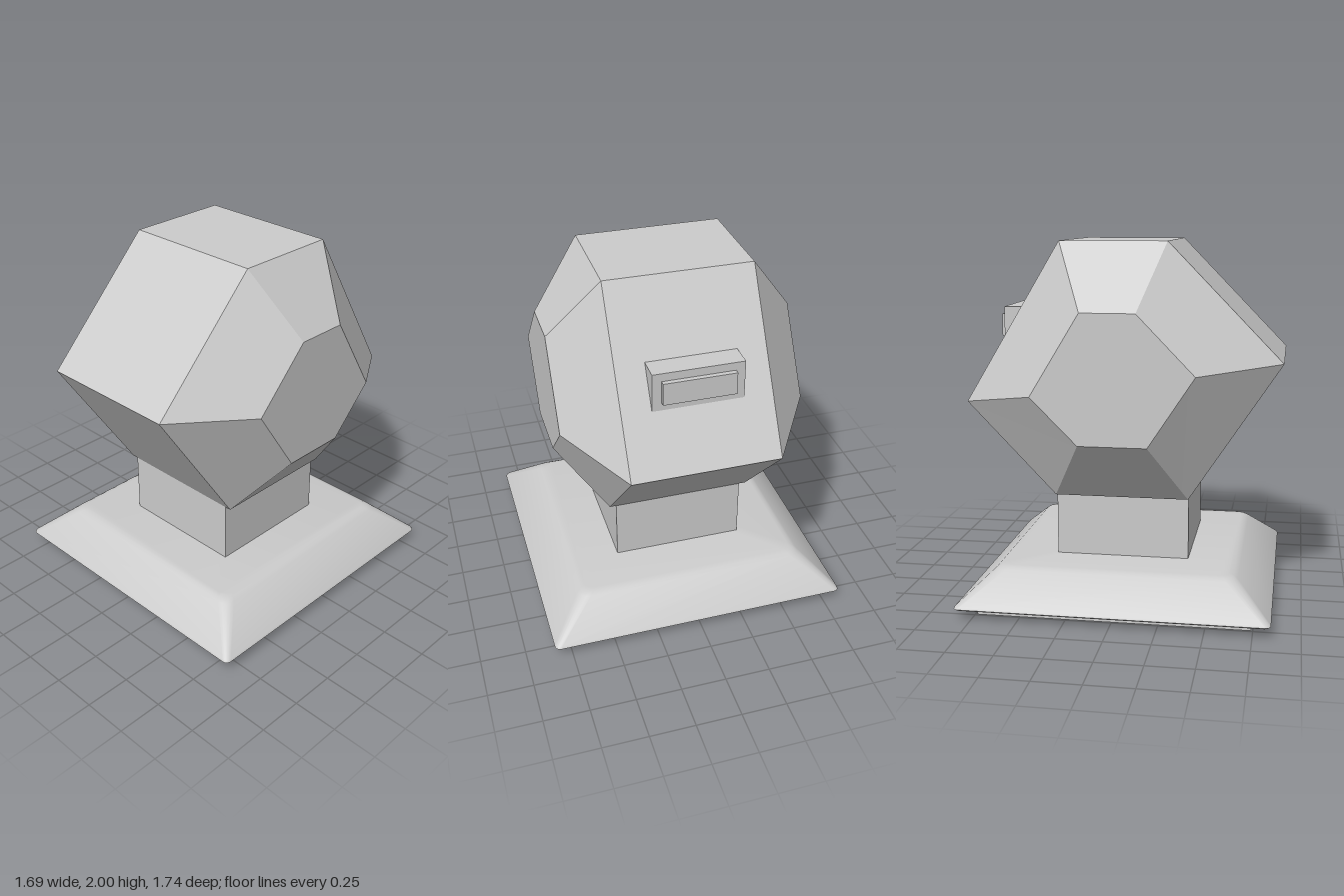
import * as THREE from 'three';
import { toCreasedNormals } from 'three/addons/utils/BufferGeometryUtils.js';

const material = new THREE.MeshStandardMaterial({ color: 0xcccccc });

// Joins counter-clockwise rings of Vector3 into a closed, capped solid.
function loft(rings, crease = 0.05) {
  const pos = [];
  const tri = (...pts) => pts.forEach((p) => pos.push(p.x, p.y, p.z));
  const n = rings[0].length;
  for (let i = 0; i < rings.length - 1; i++) {
    for (let j = 0; j < n; j++) {
      const k = (j + 1) % n;
      const a = rings[i][j], b = rings[i][k], c = rings[i + 1][k], d = rings[i + 1][j];
      tri(a, b, c);
      tri(a, c, d);
    }
  }
  const first = rings[0], last = rings[rings.length - 1];
  for (let j = 1; j < n - 1; j++) {
    tri(first[0], first[j + 1], first[j]);
    tri(last[0], last[j], last[j + 1]);
  }
  const geometry = new THREE.BufferGeometry();
  geometry.setAttribute('position', new THREE.Float32BufferAttribute(pos, 3));
  return toCreasedNormals(geometry, crease);
}

// Places a [z, y] side profile at a given x.
const sideRing = (profile, x) => profile.map(([z, y]) => new THREE.Vector3(x, y, z));

// Horizontal square ring with rounded corners.
function squareRing(half, radius, y, steps = 4) {
  const ring = [];
  for (let q = 0; q < 4; q++) {
    const mid = (q + 0.5) * Math.PI / 2;
    const cz = Math.sign(Math.cos(mid)) * (half - radius);
    const cx = Math.sign(Math.sin(mid)) * (half - radius);
    for (let s = 0; s <= steps; s++) {
      const a = (q + s / steps) * Math.PI / 2;
      ring.push(new THREE.Vector3(cx + radius * Math.sin(a), y, cz + radius * Math.cos(a)));
    }
  }
  return ring;
}

export function createModel() {
  const group = new THREE.Group();
  const add = (name, geometry, x = 0, y = 0, z = 0) => {
    const mesh = new THREE.Mesh(geometry, material);
    mesh.name = name;
    mesh.position.set(x, y, z);
    group.add(mesh);
  };

  // Base: foot, sloping skirt with softened top edge, square neck
  add('foot', new THREE.BoxGeometry(1.48, 0.07, 1.48), 0, 0.035, 0);
  add('skirt', loft([
    squareRing(0.835, 0.025, 0.052),
    squareRing(0.845, 0.03, 0.06),
    squareRing(0.84, 0.03, 0.07),
    squareRing(0.66, 0.06, 0.232),
    squareRing(0.64, 0.055, 0.244),
    squareRing(0.615, 0.05, 0.25),
  ], 0.45));
  add('neck', new THREE.BoxGeometry(0.74, 0.38, 0.74), 0, 0.42, 0);

  // Head: six-sided body whose ends taper to smaller hexagons
  const wide = [[0.25, 2], [0.873, 1.36], [0.37, 0.6], [-0.37, 0.6], [-0.867, 1.115], [-0.337, 2]];
  const narrow = [[0.12, 1.64], [0.43, 1.32], [0.18, 0.94], [-0.19, 0.94], [-0.445, 1.195], [-0.175, 1.64]];
  add('head', loft([
    sideRing(narrow, -0.68), sideRing(wide, -0.407),
    sideRing(wide, 0.407), sideRing(narrow, 0.68),
  ]));

  // Wedge housing and raised panel on the back face
  const wedge = [[-0.555, 1.63], [-0.685, 1.415], [-0.69, 1.415], [-0.69, 1.63]];
  add('backHousing', loft([sideRing(wedge, -0.247), sideRing(wedge, 0.247)]));
  add('backPanel', new THREE.BoxGeometry(0.394, 0.125, 0.05), 0, 1.522, -0.692);

  return group;
}
